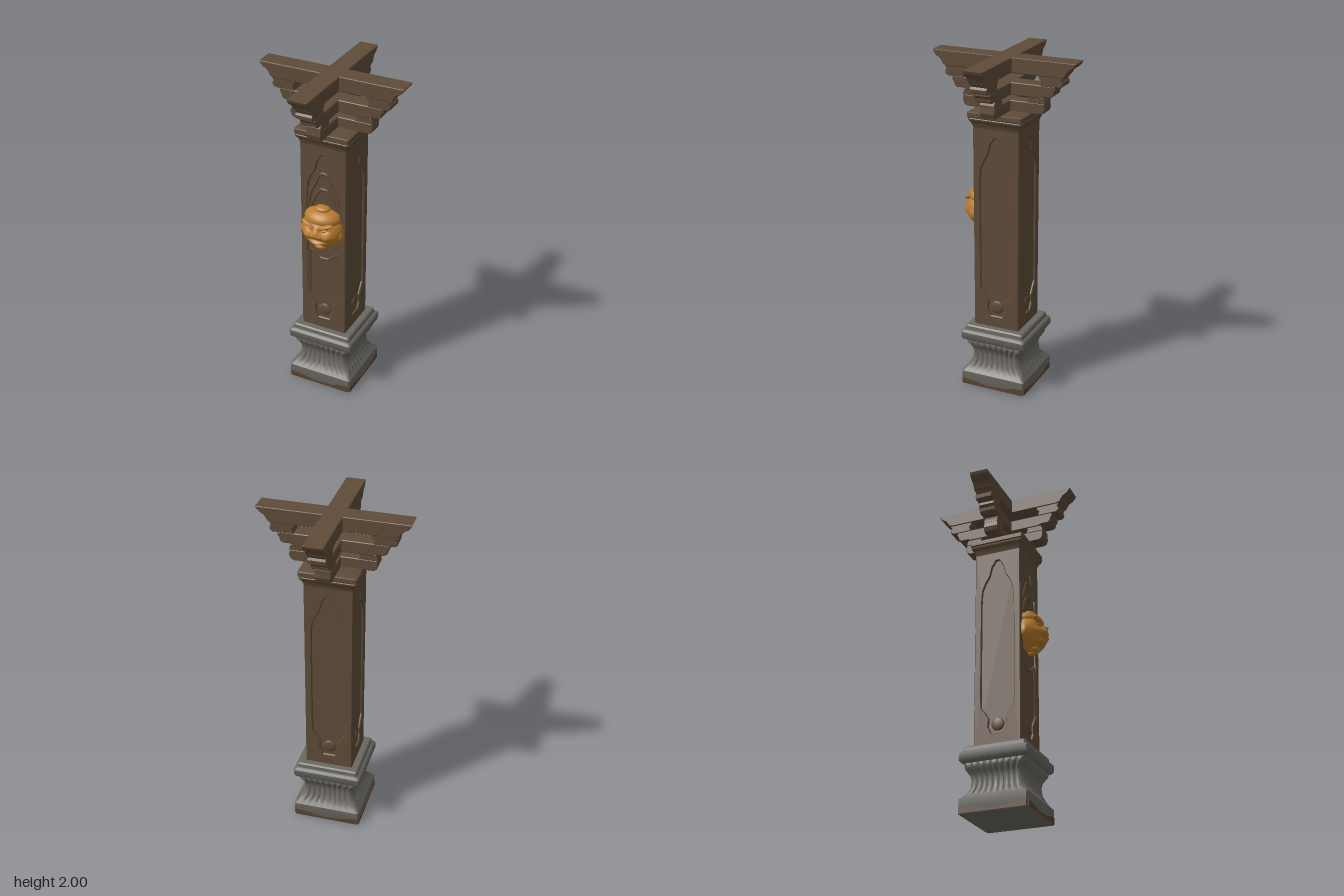
import * as THREE from 'three';
import { toCreasedNormals } from 'three/addons/utils/BufferGeometryUtils.js';

const mat = (name, color) => {
  const m = new THREE.MeshStandardMaterial({ color });
  m.name = name;
  return m;
};

// Square loft with chamfered corners; rings are [y, halfWidth, flute depth]
function squareLoft(rings, n = 1, flutes = 9) {
  const pos = [], idx = [], per = 4 * (n + 1);
  for (const [y, h, ripple = 0] of rings) {
    for (let k = 0; k < 4; k++) {
      for (let i = 0; i <= n; i++) {
        let x = (-1 + 2 * i / n) * (h - 0.009);
        let z = h + ripple * Math.abs(Math.sin(Math.PI * flutes * i / n));
        for (let r = 0; r < k; r++) [x, z] = [z, -x];
        pos.push(x, y, z);
      }
    }
  }
  for (let j = 0; j < rings.length - 1; j++) {
    for (let i = 0; i < per; i++) {
      const a = j * per + i, b = j * per + (i + 1) % per;
      idx.push(a, b, a + per, b, b + per, a + per);
    }
  }
  const last = (rings.length - 1) * per, c = pos.length / 3;
  pos.push(0, rings[0][0], 0, 0, rings[rings.length - 1][0], 0);
  for (let i = 0; i < per; i++) {
    const q = (i + 1) % per;
    idx.push(c, q, i, c + 1, last + i, last + q);
  }
  const g = new THREE.BufferGeometry();
  g.setAttribute('position', new THREE.Float32BufferAttribute(pos, 3));
  g.setIndex(idx);
  return toCreasedNormals(g, 0.6);
}

const vec = (pts) => pts.map(([x, y]) => new THREE.Vector2(x, y));
// Closes a right-hand outline with its mirror image
const mirrored = (half) => vec([...half, ...half.slice().reverse().map(([x, y]) => [-x, y])]);

// Extrusion centred on z = 0 with a small bevel
function slab(points, width) {
  const b = 0.004;
  const g = new THREE.ExtrudeGeometry(new THREE.Shape(points), {
    depth: width - 2 * b, bevelEnabled: true, bevelSize: b, bevelOffset: -b, bevelThickness: b, bevelSegments: 1,
  });
  return g.translate(0, 0, b - width / 2);
}

export function createModel() {
  const root = new THREE.Group();
  root.name = 'carvedPillar';
  const wood = mat('brown wood', 0x5f4b39);
  const stone = mat('grey stone', 0x6b6862);
  const dirt = mat('earth brown', 0x5c432e);
  const gold = mat('gold', 0xb87c2d);

  const add = (parent, name, geo, material, x = 0, y = 0, z = 0) => {
    const m = new THREE.Mesh(geo, material);
    m.name = name;
    m.position.set(x, y, z);
    parent.add(m);
    return m;
  };

  // Stone plinth with fluted waist
  add(root, 'plinth', squareLoft([
    [0, 0.198], [0.012, 0.203], [0.085, 0.203], [0.1, 0.19], [0.112, 0.178, 0.004], [0.13, 0.164, 0.009],
    [0.155, 0.153, 0.007], [0.2, 0.15, 0.005], [0.23, 0.156, 0.005], [0.245, 0.164, 0.009], [0.265, 0.176, 0.01],
    [0.28, 0.18, 0.007], [0.29, 0.183], [0.3, 0.2], [0.308, 0.205], [0.345, 0.205], [0.355, 0.198],
    [0.36, 0.186], [0.382, 0.184], [0.39, 0.176],
  ], 72), stone);

  // Earth stain around the foot, highest at the corners
  for (let k = 0; k < 4; k++) {
    const stain = new THREE.Shape(vec([[-0.195, 0.002], [0.195, 0.002], [0.195, 0.042], [0.14, 0.038],
      [0.08, 0.022], [-0.03, 0.016], [-0.1, 0.03], [-0.195, 0.04]]));
    const g = new THREE.ExtrudeGeometry(stain, { depth: 0.004, bevelEnabled: false });
    add(root, 'footStain', g.translate(0, 0, 0.2005).rotateY(k * Math.PI / 2), dirt);
  }

  // Shaft: recessed core with four carved frames
  const y0 = 0.385, y1 = 1.64, half = 0.142;
  add(root, 'shaftCore', new THREE.BoxGeometry(0.258, y1 - y0, 0.258), wood, 0, (y0 + y1) / 2, 0);
  const opening = mirrored([[0.035, 0.46], [0.055, 0.5], [0.05, 0.55], [0.075, 0.59], [0.097, 0.62], [0.1, 0.7],
    [0.1, 1.28], [0.095, 1.36], [0.075, 1.41], [0.05, 1.45], [0.035, 1.51], [0.01, 1.55]]);
  const frame = new THREE.Shape(vec([[-half, y0], [half, y0], [half, y1], [-half, y1]]));
  frame.holes.push(new THREE.Path(opening));
  const frameGeo = new THREE.ExtrudeGeometry(frame, {
    depth: 0.009, bevelEnabled: true, bevelSize: 0.005, bevelOffset: -0.005, bevelThickness: 0.005, bevelSegments: 1,
  }).translate(0, 0, half - 0.014);
  for (let k = 0; k < 4; k++) {
    const side = new THREE.Group();
    side.name = 'shaftFace';
    side.rotation.y = k * Math.PI / 2;
    root.add(side);
    add(side, 'panelFrame', frameGeo, wood);
    const boss = add(side, 'rosette', new THREE.SphereGeometry(0.04, 20, 12), wood, 0, 0.515, 0.128);
    boss.scale.z = 0.3;
  }

  // Carved ribs on the front panel
  const rib = (name, pts) => {
    const curve = new THREE.CatmullRomCurve3(pts.map(([x, y]) => new THREE.Vector3(x, y, 0)), false, 'catmullrom', 0.2);
    const m = add(root, name, new THREE.TubeGeometry(curve, 40, 0.01, 6), wood, 0, 0, 0.131);
    m.scale.z = 0.8;
  };
  rib('upperArch', [[-0.095, 1.22], [-0.085, 1.3], [-0.05, 1.37], [-0.02, 1.43], [0.02, 1.43], [0.05, 1.37], [0.085, 1.3], [0.095, 1.22]]);
  rib('innerArch', [[-0.08, 1.22], [-0.055, 1.28], [-0.02, 1.33], [0.02, 1.33], [0.055, 1.28], [0.08, 1.22]]);
  rib('lowerChevron', [[-0.095, 0.62], [-0.093, 0.92], [-0.06, 0.9], [-0.03, 0.875], [0.03, 0.875], [0.06, 0.9], [0.093, 0.92], [0.095, 0.62]]);

  // Neck moulding at the head of the shaft
  add(root, 'neckMoulding', squareLoft([[1.595, 0.139], [1.61, 0.144], [1.635, 0.153], [1.648, 0.163], [1.658, 0.165],
    [1.662, 0.162], [1.668, 0.168], [1.692, 0.168], [1.697, 0.162]]), wood);

  // Crossed bracket tiers
  const topBeam = slab(mirrored([[0.35, 1.914], [0.368, 1.922], [0.377, 1.938], [0.388, 1.955], [0.412, 1.968],
    [0.427, 1.984], [0.434, 2]]), 0.114);
  const midBeam = slab(mirrored([[0.225, 1.788], [0.24, 1.796], [0.285, 1.796], [0.3, 1.806], [0.304, 1.825],
    [0.315, 1.84], [0.312, 1.86]]), 0.1);
  const lowBeam = slab(mirrored([[0.225, 1.693], [0.243, 1.702], [0.252, 1.725], [0.248, 1.757]]), 0.09);
  const upperBlock = slab(vec([[0.222, 1.857], [0.34, 1.857], [0.355, 1.866], [0.358, 1.885], [0.349, 1.897],
    [0.362, 1.917], [0.21, 1.917], [0.216, 1.9], [0.229, 1.885]]), 0.104);
  const lowerBlock = slab(vec([[0.14, 1.754], [0.25, 1.754], [0.249, 1.772], [0.238, 1.792], [0.145, 1.792], [0.152, 1.773]]), 0.09);
  for (let k = 0; k < 2; k++) {
    const arm = new THREE.Group();
    arm.name = k ? 'depthBracket' : 'widthBracket';
    arm.rotation.y = k * Math.PI / 2;
    root.add(arm);
    add(arm, 'topBeam', topBeam, wood);
    add(arm, 'middleBeam', midBeam, wood);
    add(arm, 'lowerBeam', lowBeam, wood);
    for (const turn of [0, Math.PI]) {
      add(arm, 'upperBlock', upperBlock, wood).rotation.y = turn;
      add(arm, 'lowerBlock', lowerBlock, wood).rotation.y = turn;
    }
  }

  // Gold mask: an ellipsoid pushed out and in by soft bumps [x, y, sx, sy, amount]
  const mask = new THREE.Group();
  mask.name = 'mask';
  mask.position.set(0, 1.09, 0.135);
  root.add(mask);
  const bumps = [
    [0, 0.012, 0.02, 0.03, 0.016], [0.024, -0.004, 0.014, 0.012, 0.012], [0.045, 0.033, 0.024, 0.011, -0.02],
    [0.065, -0.012, 0.025, 0.02, 0.013], [0, -0.035, 0.05, 0.008, -0.012], [0, -0.058, 0.045, 0.012, 0.016],
    [0, -0.08, 0.035, 0.008, -0.016],
  ];
  const face = new THREE.SphereGeometry(1, 72, 56).scale(0.13, 0.112, 0.105);
  const p = face.attributes.position;
  for (let i = 0; i < p.count; i++) {
    const x = p.getX(i), y = p.getY(i), z = p.getZ(i);
    if (z < 0.01) continue;
    let d = 0;
    for (const [bx, by, sx, sy, amt] of bumps) {
      d += amt * Math.exp(-(((Math.abs(x) - bx) / sx) ** 2) - ((y - by) / sy) ** 2);
    }
    p.setZ(i, z + d);
  }
  face.computeVertexNormals();
  add(mask, 'face', face, gold);
  const ball = new THREE.SphereGeometry(1, 32, 20);
  const blob = (name, x, y, z, sx, sy, sz, roll = 0) => {
    const m = add(mask, name, ball, gold, x, y, z);
    m.scale.set(sx, sy, sz);
    m.rotation.z = roll;
  };
  blob('hairCap', 0, 0.076, 0, 0.113, 0.056, 0.09);
  blob('topKnot', 0, 0.132, 0.012, 0.046, 0.018, 0.035);
  blob('chin', 0, -0.098, 0.028, 0.042, 0.022, 0.04);
  blob('beardTip', 0, -0.118, 0.022, 0.02, 0.013, 0.024);
  for (const s of [1, -1]) {
    blob('brow', s * 0.048, 0.055, 0.079, 0.052, 0.012, 0.022, s * 0.4);
    blob('eye', s * 0.044, 0.032, 0.083, 0.018, 0.008, 0.012, s * 0.25);
    blob('ear', s * 0.112, -0.01, 0.02, 0.02, 0.04, 0.025, s * 0.15);
  }
  return root;
}
